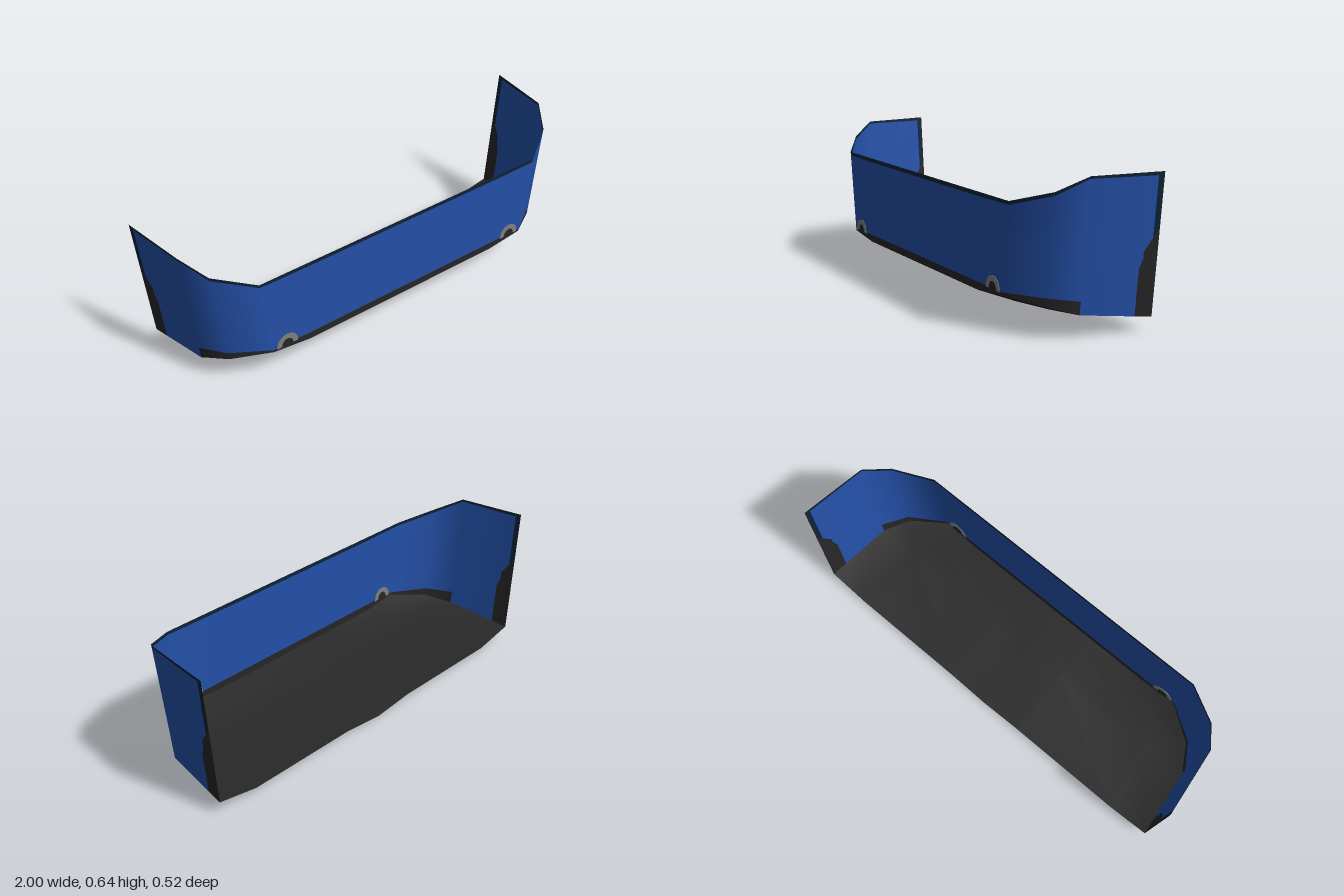
import * as THREE from 'three';

const flat = (name, color) => {
  const m = new THREE.MeshStandardMaterial({ color, side: THREE.DoubleSide });
  m.name = name;
  return m;
};

// Wall stations on the left half, back to front: z, top x, top y, bottom x, bottom y
const CORNERS = [
  [-0.26, 1.0, 0.64, 0.945, 0.06],
  [0.05, 0.96, 0.64, 0.905, 0.1],
  [0.16, 0.89, 0.58, 0.835, 0.13],
  [0.26, 0.73, 0.53, 0.68, 0.155],
];
const mix = (a, b, t) => a.map((v, i) => v + (b[i] - v) * t);
const sideAt = (z) => mix(CORNERS[0], CORNERS[1], (z + 0.26) / 0.31);

// Outline normals, weighted by the length of the neighbouring walls
function cornerNormals() {
  const path = [...CORNERS.map((c) => [c[1], c[0]]), [-0.73, 0.26]];
  const perp = (i) => (i < 0 || i > 3 ? [0, 0] : [path[i + 1][1] - path[i][1], path[i][0] - path[i + 1][0]]);
  return CORNERS.map((_, i) => {
    const a = perp(i - 1), b = perp(i), x = a[0] + b[0], z = a[1] + b[1];
    return new THREE.Vector3(x, -0.1 * x, z).normalize();
  });
}

function buildWall(mats) {
  const normals = cornerNormals();
  const bands = mats.map(() => ({ pos: [], nor: [] }));
  const place = (s, y) => {
    const t = (y - s.c[4]) / (s.c[2] - s.c[4]);
    return [s.c[3] + (s.c[1] - s.c[3]) * t, y, s.c[0]];
  };
  // One panel between two stations, for both sides of the model
  const panel = (a, b, lowA, lowB, trimA, trimB) => {
    const heights = (s, low, trim) => {
      const l = Math.max(low, s.c[4]);
      return [s.c[4], l, Math.max(l, s.c[2] - trim), s.c[2]];
    };
    const ya = heights(a, lowA, trimA), yb = heights(b, lowB, trimB);
    for (const m of [1, -1]) {
      for (let k = 0; k < 3; k++) {
        const p = [[b, yb[k]], [a, ya[k]], [a, ya[k + 1]], [b, yb[k + 1]]];
        const order = m > 0 ? [0, 1, 2, 0, 2, 3] : [0, 2, 1, 0, 3, 2];
        for (const i of order) {
          const [s, y] = p[i], v = place(s, y);
          bands[k].pos.push(v[0] * m, v[1], v[2]);
          bands[k].nor.push(s.n.x * m, s.n.y, s.n.z);
        }
      }
    }
  };
  const corner = (i) => ({ c: CORNERS[i], n: normals[i] });
  const side = (z) => ({ c: sideAt(z), n: normals[0].clone().lerp(normals[1], (z + 0.26) / 0.31).normalize() });
  const front = (x, bottom) => ({ c: [0.26, x, 0.53, x, bottom], n: new THREE.Vector3(0, 0, 1) });

  // Rear edge patch, plain sides, curved corners, then the front
  panel(side(-0.26), side(-0.235), 0.42, 0.38, 0.3, 0.3);
  panel(side(-0.235), side(-0.2), 0.38, 0.33, 0.014, 0.014);
  panel(side(-0.2), side(-0.185), 0.3, 0.26, 0.014, 0.014);
  panel(side(-0.185), side(0.05), 0, 0, 0.014, 0.01);
  panel(corner(1), corner(2), 0.155, 0.165, 0.01, 0.015);
  panel(corner(2), corner(3), 0.165, 0.166, 0.015, 0.015);
  panel(corner(3), front(0.5, 0.133), 0.166, 0.166, 0.015, 0.018);
  panel(front(0.5, 0.133), front(0, 0.133), 0.166, 0.166, 0.018, 0.018);

  const names = ['lowerTrim', 'paintedWall', 'topEdge'];
  const wall = new THREE.Group();
  wall.name = 'wrapWall';
  bands.forEach((b, i) => {
    const g = new THREE.BufferGeometry();
    g.setAttribute('position', new THREE.Float32BufferAttribute(b.pos, 3));
    g.setAttribute('normal', new THREE.Float32BufferAttribute(b.nor, 3));
    const mesh = new THREE.Mesh(g, mats[i]);
    mesh.name = names[i];
    wall.add(mesh);
  });
  return wall;
}

// Sloping floor pan lofted from half cross-sections: z, then x and y pairs from the centre out
function buildFloor(mat) {
  const rows = [
    [-0.26, [[0, 0], [0.2, 0.02], [0.75, 0.022], [0.945, 0.06]]],
    [0.05, [[0, 0.068], [0.2, 0.068], [0.69, 0.07], [0.905, 0.1]]],
    [0.16, [[0, 0.1], [0.2, 0.1], [0.62, 0.102], [0.835, 0.13]]],
    [0.26, [[0, 0.133], [0.2, 0.133], [0.5, 0.133], [0.68, 0.155]]],
  ];
  const pos = [], index = [];
  for (const [z, half] of rows) {
    const full = [...half.slice(1).reverse().map(([x, y]) => [-x, y]), ...half];
    for (const [x, y] of full) pos.push(x, y, z);
  }
  for (let r = 0; r < 3; r++) {
    for (let c = 0; c < 6; c++) {
      const a = r * 7 + c, b = a + 7;
      index.push(a, b, b + 1, a, b + 1, a + 1);
    }
  }
  const g = new THREE.BufferGeometry();
  g.setAttribute('position', new THREE.Float32BufferAttribute(pos, 3));
  g.setIndex(index);
  g.computeVertexNormals();
  const mesh = new THREE.Mesh(g, mat);
  mesh.name = 'floorPan';
  return mesh;
}

// Small arched surround with a dark centre, showing on both faces of the front wall
function buildArch(x, ringMat, coreMat) {
  const group = new THREE.Group();
  group.name = x > 0 ? 'leftArch' : 'rightArch';
  const ring = new THREE.Shape();
  ring.absarc(0, 0, 0.051, -0.15, Math.PI + 0.15, false);
  ring.absarc(0, 0, 0.027, Math.PI + 0.15, -0.15, true);
  const core = new THREE.Shape();
  core.absarc(0, 0, 0.027, -0.4, Math.PI + 0.4, false);
  for (const [shape, mat, name] of [[ring, ringMat, 'archRing'], [core, coreMat, 'archCore']]) {
    const g = new THREE.ExtrudeGeometry(shape, { depth: 0.004, bevelEnabled: false, curveSegments: 8 });
    const mesh = new THREE.Mesh(g, mat);
    mesh.name = name;
    group.add(mesh);
  }
  group.position.set(x, 0.168, 0.258);
  return group;
}

export function createModel() {
  const blue = flat('blue paint', 0x2450a8);
  const charcoal = flat('charcoal plastic', 0x262626);
  const navy = flat('dark navy edge', 0x0e2233);
  const grey = flat('grey surround', 0x808080);

  const model = new THREE.Group();
  model.name = 'bumper';
  model.add(buildWall([charcoal, blue, navy]), buildFloor(charcoal));
  for (const x of [0.615, -0.615]) model.add(buildArch(x, grey, charcoal));
  return model;
}
